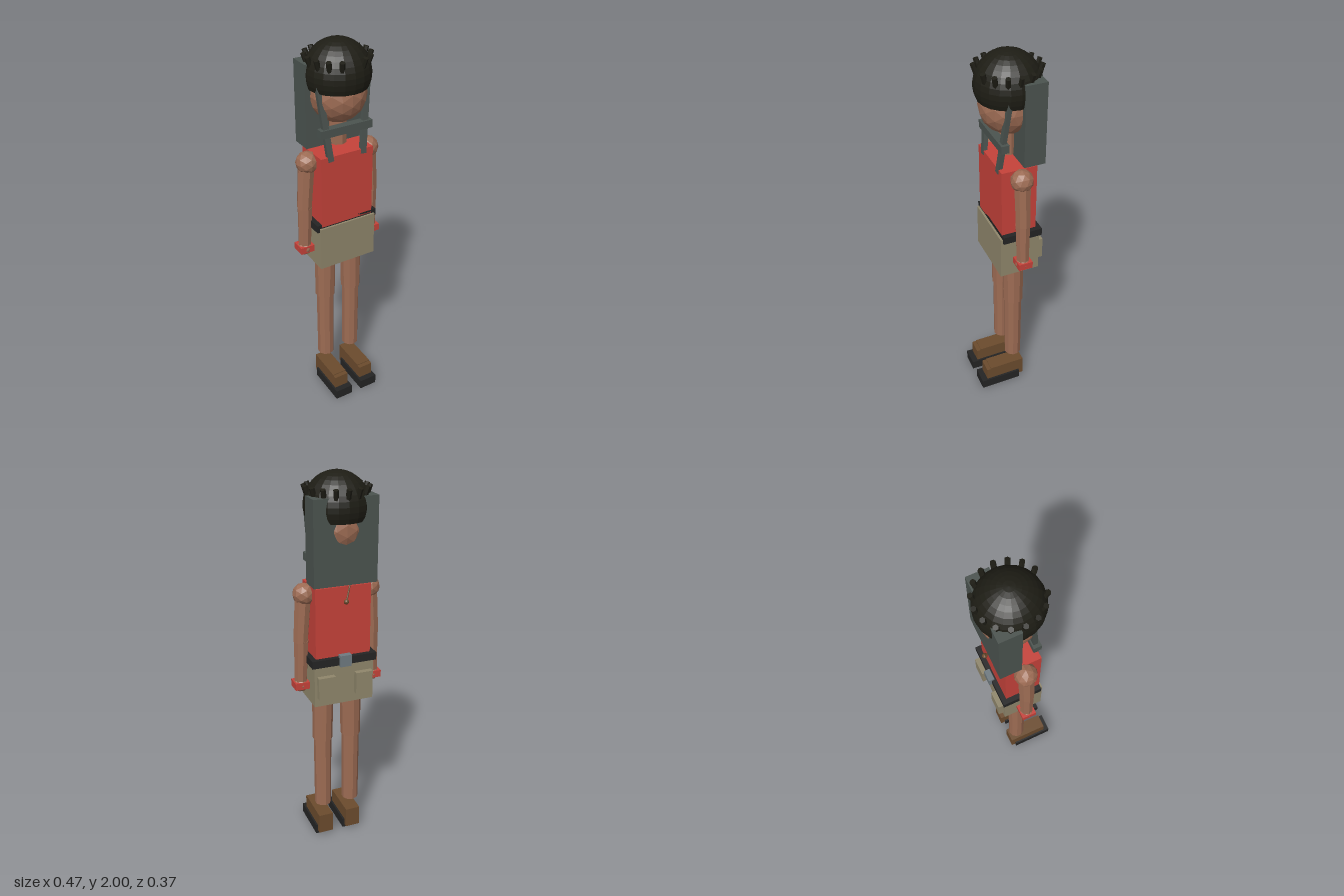
import * as THREE from 'three';

const mat = (color, side = THREE.FrontSide) => new THREE.MeshStandardMaterial({ color, flatShading: true, side });
const CZ = -0.02; // depth of the body's axis

export function createModel() {
  const root = new THREE.Group();
  const skin = mat(0x9c6b53), red = mat(0xc5423a), khaki = mat(0x8f866b), black = mat(0x242424),
    brown = mat(0x6b4b2d), grey = mat(0x4b534f), steel = mat(0x6f7a80), hair = mat(0x1e1d15, THREE.DoubleSide);

  const add = (name, geo, m, x = 0, y = 0, z = 0) => {
    const mesh = new THREE.Mesh(geo, m);
    mesh.name = name;
    mesh.position.set(x, y, z);
    root.add(mesh);
    return mesh;
  };
  // box given by its min and max on each axis
  const box = (name, m, x0, x1, y0, y1, z0, z1) =>
    add(name, new THREE.BoxGeometry(x1 - x0, y1 - y0, z1 - z0), m, (x0 + x1) / 2, (y0 + y1) / 2, (z0 + z1) / 2);
  // box mirrored to the side s
  const sideBox = (name, m, s, x0, x1, ...rest) =>
    box(name, m, Math.min(s * x0, s * x1), Math.max(s * x0, s * x1), ...rest);
  // turns a y-aligned mesh so that it runs from a to b
  const aim = (mesh, a, b) => {
    mesh.position.copy(a).lerp(b, 0.5);
    mesh.quaternion.setFromUnitVectors(new THREE.Vector3(0, 1, 0), b.clone().sub(a).normalize());
    return mesh;
  };
  const rod = (name, m, a, b, rBottom, rTop, sides = 8) => {
    const va = new THREE.Vector3(...a), vb = new THREE.Vector3(...b);
    return aim(add(name, new THREE.CylinderGeometry(rTop, rBottom, va.distanceTo(vb), sides), m), va, vb);
  };
  const bar = (name, m, a, b, w, d) => {
    const va = new THREE.Vector3(...a), vb = new THREE.Vector3(...b);
    return aim(add(name, new THREE.BoxGeometry(w, va.distanceTo(vb), d), m), va, vb);
  };

  // torso and clothes
  box('shirt', red, -0.145, 0.145, 1.09, 1.465, -0.11, 0.072);
  box('belt', black, -0.171, 0.171, 1.065, 1.105, -0.134, 0.072);
  box('buckle', steel, -0.03, 0.03, 1.06, 1.12, -0.15, -0.12);
  box('shorts', khaki, -0.158, 0.158, 0.85, 1.085, -0.125, 0.083);

  // head
  rod('neck', skin, [0, 1.49, CZ], [0, 1.64, CZ], 0.045, 0.045);
  add('head', new THREE.IcosahedronGeometry(0.14, 2), skin, 0, 1.74, CZ);
  add('hair', new THREE.SphereGeometry(0.16, 20, 12, 0, Math.PI * 2, 0, Math.PI * 0.63), hair, 0, 1.84, CZ);
  // short tufts in a ring round the hair, none at the very front
  for (let i = 0; i < 16; i++) {
    if (i === 4) continue;
    const a = (i / 16) * Math.PI * 2, c = Math.cos(a), s = Math.sin(a);
    rod('hairTuft', hair, [c * 0.138, 1.88, CZ + s * 0.138], [c * 0.156, 1.935, CZ + s * 0.156], 0.013, 0.013, 6);
  }

  // pack on the back with its cord and harness
  box('backpack', grey, -0.162, 0.162, 1.48, 1.895, -0.143, -0.035);
  rod('packCord', brown, [-0.03, 1.5, -0.13], [0, 1.4, -0.148], 0.004, 0.004, 6);
  add('cordBead', new THREE.IcosahedronGeometry(0.013, 1), brown, 0, 1.4, -0.148);
  box('chestStrap', grey, -0.14, 0.14, 1.565, 1.605, 0.03, 0.07);

  for (const s of [1, -1]) {
    bar('shoulderStrap', grey, [s * 0.09, 1.44, 0.065], [s * 0.13, 1.81, 0.028], 0.03, 0.022);
    sideBox('backPocket', khaki, s, 0.055, 0.145, 0.9, 1.015, -0.153, -0.12);

    // arm
    add('shoulder', new THREE.IcosahedronGeometry(0.057, 1), skin, s * 0.171, 1.42, CZ);
    rod('upperArm', skin, [s * 0.192, 1.175, CZ], [s * 0.175, 1.42, CZ], 0.038, 0.042);
    rod('forearm', skin, [s * 0.196, 0.945, CZ], [s * 0.189, 1.18, CZ], 0.032, 0.038);
    add('hand', new THREE.IcosahedronGeometry(0.04, 1), skin, s * 0.196, 0.942, CZ);
    sideBox('wristband', red, s, 0.16, 0.235, 0.925, 0.962, -0.058, 0.016);

    // leg
    rod('thigh', skin, [s * 0.08, 0.605, CZ], [s * 0.077, 0.9, CZ], 0.053, 0.056, 10);
    rod('shin', skin, [s * 0.08, 0.195, CZ], [s * 0.08, 0.62, CZ], 0.045, 0.047, 10);

    // shoe
    sideBox('sole', black, s, 0.03, 0.13, 0, 0.055, -0.042, 0.185);
    sideBox('shoeUpper', brown, s, 0.04, 0.12, 0.02, 0.133, -0.068, 0.13);
    sideBox('shoeToe', brown, s, 0.04, 0.12, 0.04, 0.128, 0.12, 0.153);
  }
  return root;
}
